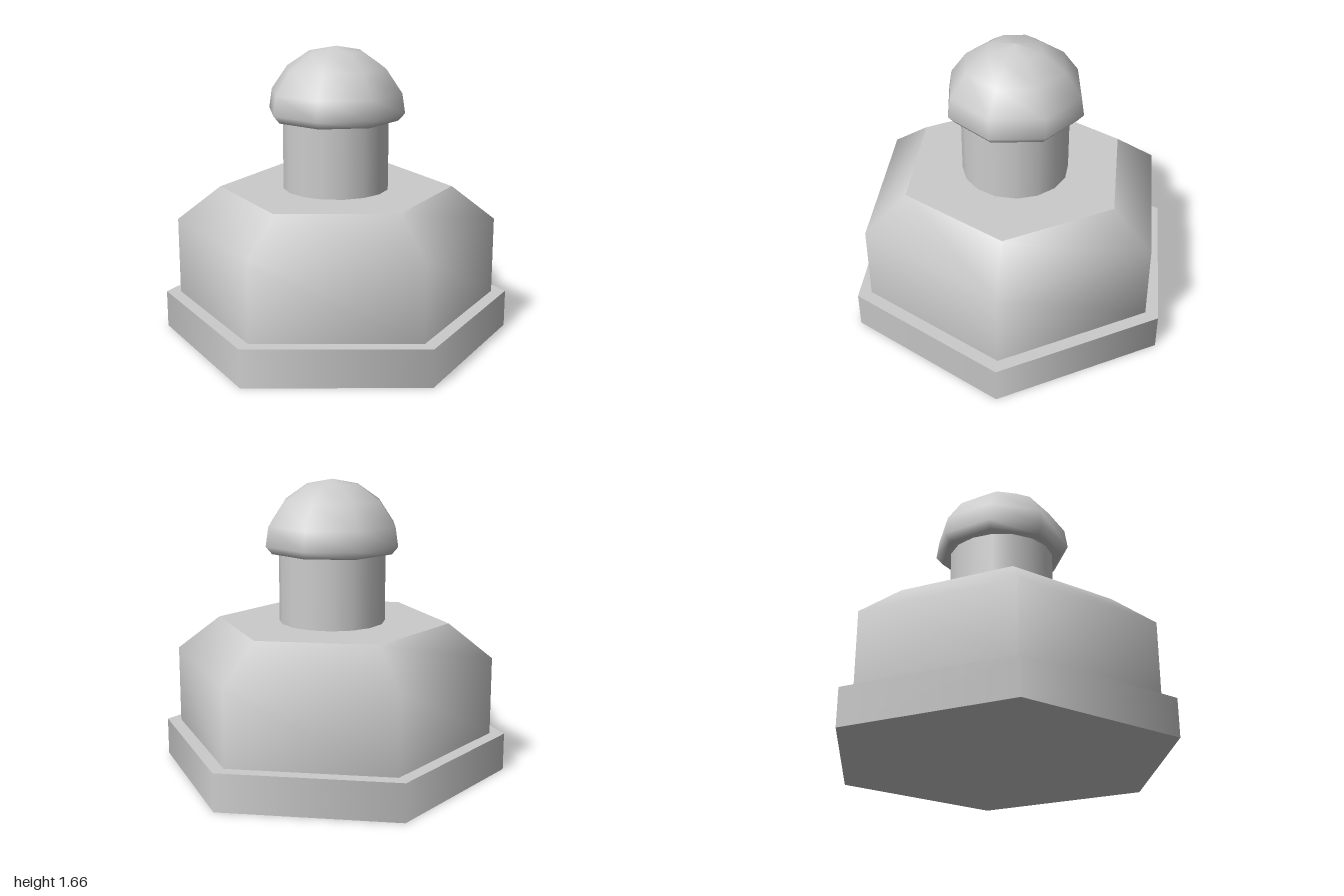
import * as THREE from 'three';

export function createModel() {
  const group = new THREE.Group();
  const material = new THREE.MeshStandardMaterial({ color: 0xcccccc });

  const add = (name, geometry, y = 0) => {
    const mesh = new THREE.Mesh(geometry, material);
    mesh.name = name;
    mesh.position.y = y;
    group.add(mesh);
  };
  // Prism standing on y = bottom, with one corner facing +z
  const prism = (name, radius, bottom, top, sides) =>
    add(name, new THREE.CylinderGeometry(radius, radius, top - bottom, sides), (bottom + top) / 2);
  // Smooth-shaded turned shape, profile given from bottom to top
  const turned = (name, profile, sides) =>
    add(name, new THREE.LatheGeometry(profile.map(([r, y]) => new THREE.Vector2(r, y)), sides));

  // Hexagonal foot
  prism('base', 1, 0, 0.215, 6);

  // Hexagonal body with a sloping shoulder, closed by a flat top
  turned('body', [[0.917, 0.215], [0.917, 0.66], [0.667, 0.855]], 6);
  const top = new THREE.CircleGeometry(0.667, 6, Math.PI / 2);
  top.rotateX(-Math.PI / 2);
  add('bodyTop', top, 0.855);

  // Round stem
  prism('stem', 0.303, 0.855, 1.26, 16);

  // Eight-sided domed knob with a tucked-in rim
  turned('knob', [
    [0, 1.257], [0.36, 1.257], [0.397, 1.3], [0.38, 1.41],
    [0.288, 1.543], [0.155, 1.633], [0, 1.663],
  ], 8);

  return group;
}
